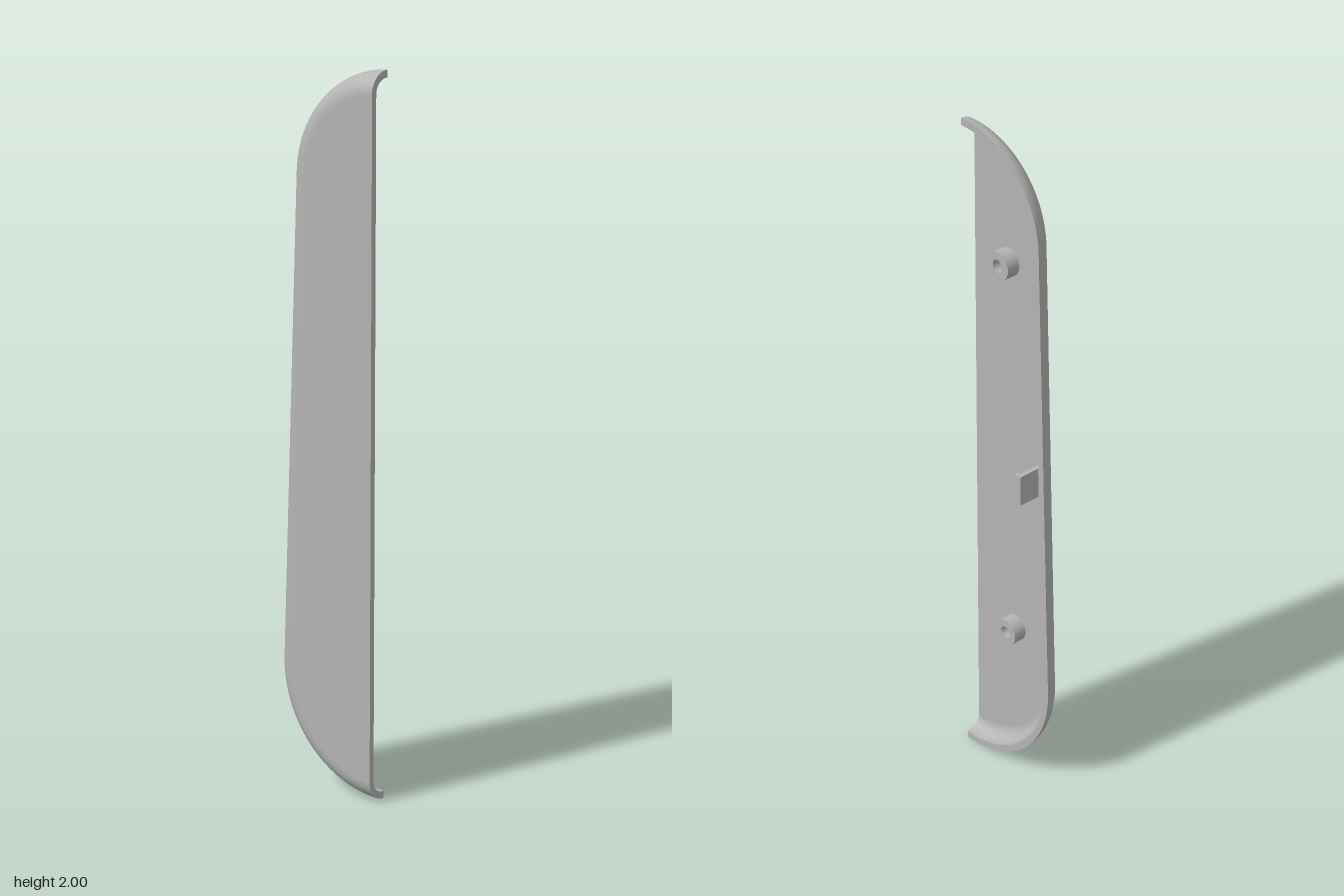
import * as THREE from 'three';
import { mergeGeometries } from 'three/addons/utils/BufferGeometryUtils.js';

const OPEN_X = 0.17;              // plane of the open side
const RIM_Z = -0.005;
const FRONT_Z = 0.057;
const FLOOR_Z = 0.04;             // inner face of the front plate
const ROUND = 0.06, WALL = 0.02;
const UPPER = { y: 1.71, r: 0.29 }, LOWER = { y: 0.342, r: 0.342 };

// Half outline, inset by d, running from the top round the side to the bottom
function outline(d) {
  const tilt = Math.asin((LOWER.r - UPPER.r) / (UPPER.y - LOWER.y));
  const side = Math.PI - tilt, n = 28, points = [];
  const arc = (c, from, to) => {
    for (let i = 0; i <= n; i++) {
      const a = from + (to - from) * i / n;
      points.push(new THREE.Vector2(OPEN_X + (c.r - d) * Math.cos(a), c.y + (c.r - d) * Math.sin(a)));
    }
  };
  arc(UPPER, Math.PI / 2, side);
  arc(LOWER, side, Math.PI * 1.5);
  return points;
}

// Smooth surface sweeping a profile of [inset, z] along the outline
function sweep(profile) {
  const rows = profile.map(([d]) => outline(d));
  const count = rows[0].length, position = [], index = [];
  rows.forEach((row, j) => row.forEach(p => position.push(p.x, p.y, profile[j][1])));
  for (let j = 0; j < rows.length - 1; j++) {
    for (let i = 0; i < count - 1; i++) {
      const a = j * count + i, b = a + count;
      index.push(a, a + 1, b, a + 1, b + 1, b);
    }
  }
  const geometry = new THREE.BufferGeometry();
  geometry.setAttribute('position', new THREE.Float32BufferAttribute(position, 3));
  geometry.setIndex(index);
  geometry.computeVertexNormals();
  return geometry;
}

// Quarter-round profile from the rim to the plate
function quarter(startInset, endZ) {
  const points = [];
  for (let i = 0; i <= 12; i++) {
    const t = i / 12 * Math.PI / 2;
    points.push([ROUND - (ROUND - startInset) * Math.cos(t), RIM_Z + (endZ - RIM_Z) * Math.sin(t)]);
  }
  return points;
}

export function createModel() {
  const group = new THREE.Group();
  const grey = new THREE.MeshStandardMaterial({ color: 0xb4b4b4, side: THREE.DoubleSide });
  grey.name = 'grey';
  const add = (name, geometry, parent = group) => {
    const mesh = new THREE.Mesh(geometry, grey);
    mesh.name = name;
    parent.add(mesh);
    return mesh;
  };

  // Curved wall and its flat rim
  const outer = quarter(0, FRONT_Z), inner = quarter(WALL, FLOOR_Z);
  add('outerWall', sweep(outer));
  add('innerWall', sweep([...inner].reverse()));
  add('rim', sweep([[WALL, RIM_Z], [0, RIM_Z]]));

  // Front plate, outside and inside faces
  const plate = new THREE.ShapeGeometry(new THREE.Shape(outline(ROUND)));
  add('frontFace', plate).position.z = FRONT_Z;
  const floor = add('innerFace', plate.clone().rotateY(Math.PI));
  floor.scale.x = -1;
  floor.position.z = FLOOR_Z;

  // Cut edge along the open side, drawn in (-z, y) and turned to face +x
  const top = ([d, z]) => new THREE.Vector2(-z, 2 - d);
  const bottom = ([d, z]) => new THREE.Vector2(-z, d);
  const section = new THREE.Shape([
    ...outer.map(top), ...[...outer].reverse().map(bottom),
    ...inner.map(bottom), ...[...inner].reverse().map(top),
  ]);
  add('openEdge', new THREE.ShapeGeometry(section).rotateY(Math.PI / 2)).position.x = OPEN_X;

  // Hollow screw bosses
  const ring = [[0.04, 0, 0.04, 0.04], [0.04, 0.04, 0.018, 0.04], [0.018, 0.04, 0.018, 0]];
  const boss = mergeGeometries(ring.map(([r0, h0, r1, h1]) =>
    new THREE.LatheGeometry([new THREE.Vector2(r0, h0), new THREE.Vector2(r1, h1)], 32)));
  for (const [name, x, y] of [['upperBoss', 0.04, 1.625], ['lowerBoss', 0.01, 0.47]]) {
    const mesh = add(name, boss);
    mesh.rotation.x = -Math.PI / 2;
    mesh.position.set(x, y, FLOOR_Z);
  }

  // Hooked clip with a foot reaching the wall, drawn in (x, -z)
  const clip = new THREE.Shape([
    [-0.13, -0.02], [-0.1, -0.02], [-0.1, 0.049], [-0.091, 0.049],
    [-0.091, 0.06], [-0.114, 0.06], [-0.114, -0.008], [-0.13, -0.008],
  ].map(([x, y]) => new THREE.Vector2(x, y)));
  const hook = new THREE.ExtrudeGeometry(clip, { depth: 0.09, bevelEnabled: false });
  add('clip', hook.rotateX(-Math.PI / 2)).position.y = 0.985;

  return group;
}
